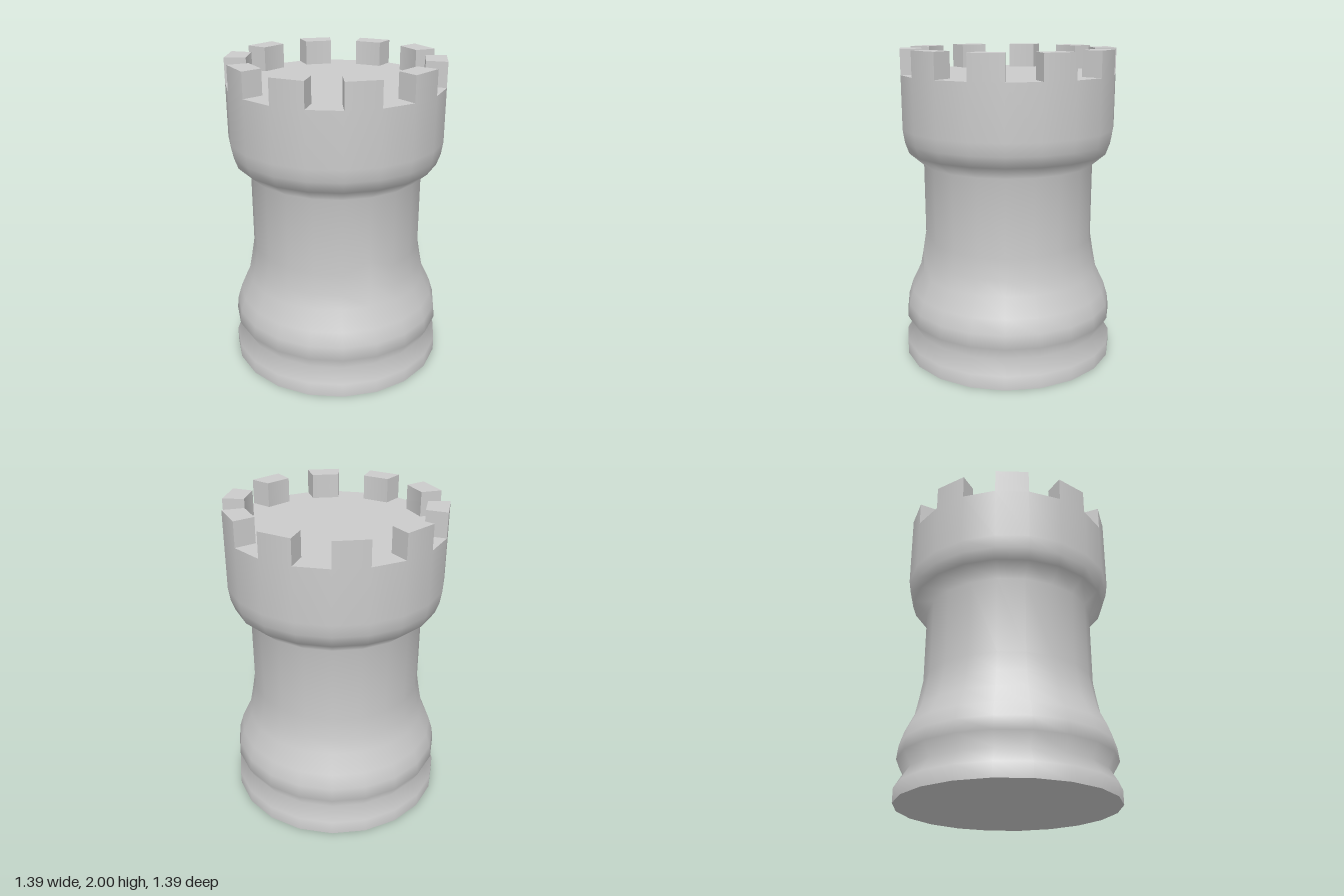
import * as THREE from 'three';
import { mergeGeometries } from 'three/addons/utils/BufferGeometryUtils.js';

const SIDES = 20, STEP = (Math.PI * 2) / SIDES;
const WALL = 0.68, INNER = 0.547, DECK = 1.845, TOP = 2;

const v2 = ([r, y]) => new THREE.Vector2(r, y);

// Turned profile from foot to deck, as [radius, height]
const PROFILE = [
  [0.695, 0], [0.695, 0.09], [0.64, 0.18], [0.688, 0.265], [0.678, 0.35],
  [0.65, 0.44], [0.592, 0.56], [0.572, 0.66], [0.55, 0.79], [0.55, 1.28],
  [0.643, 1.36], [0.668, 1.43], [WALL, 1.51], [WALL, DECK],
];

function bodyGeometry() {
  const geometry = new THREE.LatheGeometry(PROFILE.map(v2), SIDES);
  // Slight dent in the front edge of the waist
  const dent = { 6: [0.576, 0.56], 7: [0.574, 0.72], 8: [0.55, 0.86] };
  for (const [ring, [r, y]] of Object.entries(dent)) {
    for (const column of [0, SIDES]) {
      geometry.attributes.position.setXYZ(column * PROFILE.length + Number(ring), 0, y, r);
    }
  }
  return geometry;
}

// One wedge-shaped battlement block spanning a single side of the tower
function merlonGeometry(start) {
  const corners = [[WALL, DECK], [WALL, TOP], [INNER, TOP], [INNER, DECK]];
  const parts = [];
  // Outer, top and inner faces
  for (let i = 0; i < 3; i++) {
    parts.push(new THREE.LatheGeometry([v2(corners[i]), v2(corners[i + 1])], 1, start, STEP));
  }
  // Two radial faces
  const mid = (WALL + INNER) / 2;
  for (const [angle, turn] of [[start, -Math.PI / 2], [start + STEP, Math.PI / 2]]) {
    parts.push(new THREE.PlaneGeometry(WALL - INNER, TOP - DECK)
      .rotateY(angle + turn)
      .translate(mid * Math.sin(angle), (DECK + TOP) / 2, mid * Math.cos(angle)));
  }
  return mergeGeometries(parts);
}

export function createModel() {
  const group = new THREE.Group();
  group.name = 'rook';
  const material = new THREE.MeshStandardMaterial({ color: 0xcccccc });
  const add = (name, geometry) => {
    const mesh = new THREE.Mesh(geometry, material);
    mesh.name = name;
    group.add(mesh);
  };

  add('body', bodyGeometry());
  add('underside', new THREE.CircleGeometry(PROFILE[0][0], SIDES).rotateX(Math.PI / 2));
  add('deck', new THREE.CircleGeometry(WALL, SIDES).rotateX(-Math.PI / 2).translate(0, DECK, 0));

  // Battlements on every second side
  for (let i = 1; i < SIDES; i += 2) add('merlon', merlonGeometry(i * STEP));

  return group;
}
